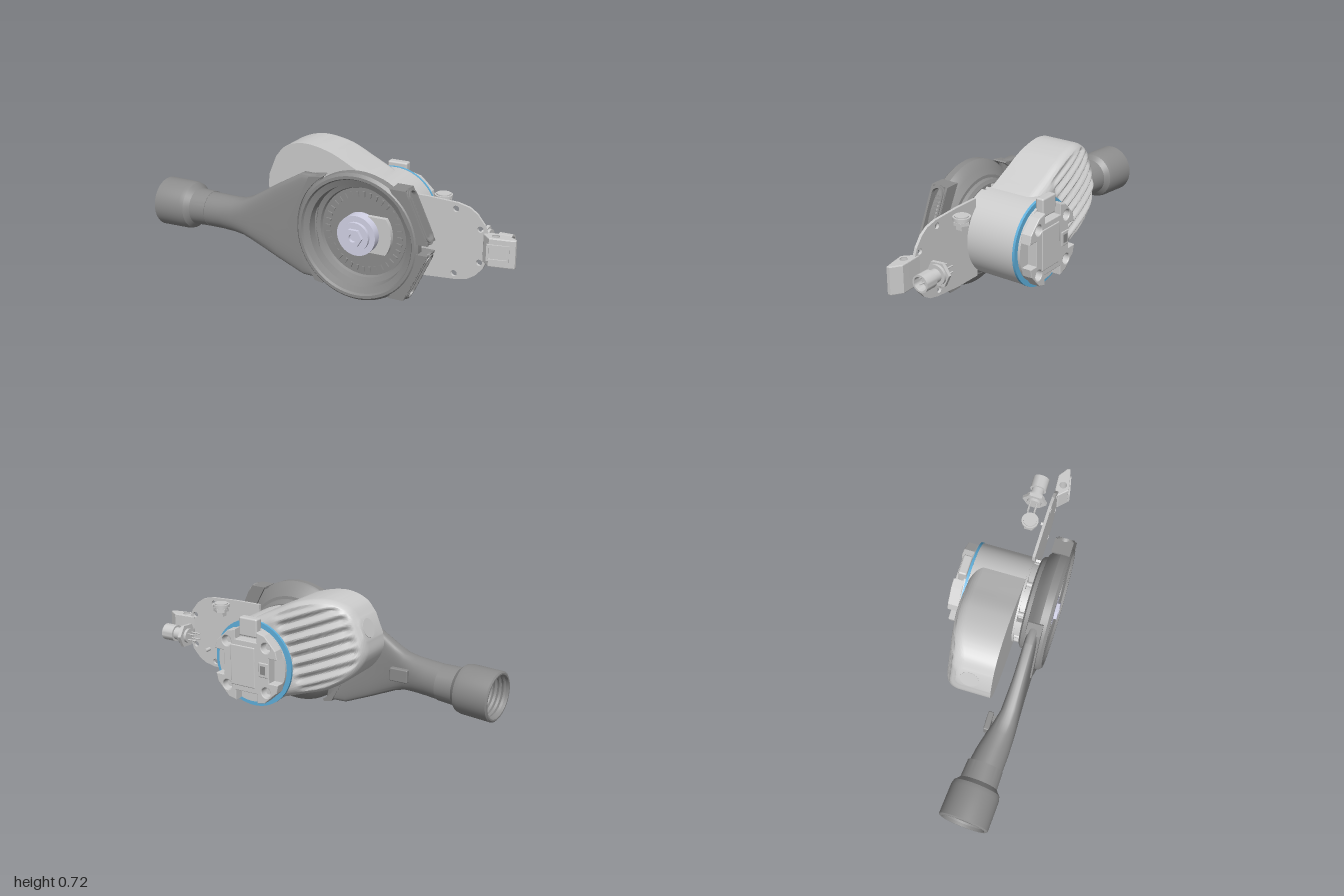
import * as THREE from 'three';
import { toCreasedNormals } from 'three/addons/utils/BufferGeometryUtils.js';
import { RoundedBoxGeometry } from 'three/addons/geometries/RoundedBoxGeometry.js';

const grey = new THREE.MeshStandardMaterial({ color: 0xcccccc, side: THREE.DoubleSide });
const darkGrey = new THREE.MeshStandardMaterial({ color: 0x8c8c8c, side: THREE.DoubleSide });
const blue = new THREE.MeshStandardMaterial({ color: 0x5fb0dc, side: THREE.DoubleSide });
const steel = new THREE.MeshStandardMaterial({ color: 0xd2d2e6, side: THREE.DoubleSide });
const CX = 0.225, CY = 0.335; // motor axis

export function createModel() {
  const root = new THREE.Group();

  const add = (name, geo, mat = grey, parent = root) => {
    const m = new THREE.Mesh(geo, mat);
    m.name = name;
    parent.add(m);
    return m;
  };
  const at = (m, x, y, z) => { m.position.set(x, y, z); return m; };
  const box = (name, w, h, d, x, y, z, parent = root, mat = grey) =>
    at(add(name, new THREE.BoxGeometry(w, h, d), mat, parent), x, y, z);
  const rbox = (name, w, h, d, x, y, z, parent = root, mat = grey) =>
    at(add(name, new RoundedBoxGeometry(w, h, d, 2, Math.min(w, h, d) * 0.2), mat, parent), x, y, z);
  // cylinder along x, y or z between two values of that axis
  const rod = (name, axis, r, a, b, p, q, sides = 32, parent = root, mat = grey) => {
    const g = new THREE.CylinderGeometry(r, r, b - a, sides);
    if (axis === 'z') g.rotateX(Math.PI / 2);
    if (axis === 'x') g.rotateZ(-Math.PI / 2);
    const c = (a + b) / 2;
    const m = add(name, sides < 8 ? toCreasedNormals(g, 0.5) : g, mat, parent);
    return axis === 'x' ? at(m, c, p, q) : axis === 'y' ? at(m, p, c, q) : at(m, p, q, c);
  };
  const lathe = (pts, n = 72) =>
    toCreasedNormals(new THREE.LatheGeometry(pts.map(p => new THREE.Vector2(...p)), n), 0.5);
  const poly = pts => new THREE.Shape(pts.map(p => new THREE.Vector2(...p)));
  const extrude = (shape, depth, bevel = 0) => new THREE.ExtrudeGeometry(shape, {
    depth, bevelEnabled: bevel > 0, bevelSize: bevel, bevelThickness: bevel, bevelSegments: 2, curveSegments: 24 });
  const circleHole = (shape, x, y, r) => shape.holes.push(new THREE.Path().absarc(x, y, r, 0, Math.PI * 2, true));
  const pill = (path, r) => path.absarc(0.1, 0, r, -Math.PI / 2, Math.PI / 2, false)
    .absarc(-0.1, 0, r, Math.PI / 2, Math.PI * 1.5, false);
  const clamp01 = v => Math.min(1, Math.max(0, v));
  // skin over equal-length closed sections, capped at both ends
  const loft = (secs, crease) => {
    const n = secs[0].length, pos = [], idx = [];
    secs.forEach(s => s.forEach(p => pos.push(p.x, p.y, p.z)));
    for (let i = 0; i < secs.length - 1; i++) for (let j = 0; j < n; j++) {
      const a = i * n + j, b = i * n + (j + 1) % n;
      idx.push(a, b, a + n, b, b + n, a + n);
    }
    [0, secs.length - 1].forEach(k => {
      const c = secs[k].reduce((s, p) => s.add(p), new THREE.Vector3()).divideScalar(n);
      const ci = pos.length / 3;
      pos.push(c.x, c.y, c.z);
      for (let j = 0; j < n; j++) {
        const a = k * n + j, b = k * n + (j + 1) % n;
        k ? idx.push(a, b, ci) : idx.push(b, a, ci);
      }
    });
    const g = new THREE.BufferGeometry();
    g.setAttribute('position', new THREE.Float32BufferAttribute(pos, 3));
    g.setIndex(idx);
    return toCreasedNormals(g, crease);
  };

  // motor barrel, coloured seal and neck with windows
  rod('motorBarrel', 'z', 0.23, -0.195, 0.085, CX, CY, 72);
  rod('sealRing', 'z', 0.232, -0.208, -0.195, CX, CY, 72, root, blue);
  rod('neckCore', 'z', 0.185, 0.08, 0.14, CX, CY, 48);
  rod('neckFlange', 'z', 0.228, 0.08, 0.095, CX, CY, 72);
  for (let i = 0; i < 8; i++) {
    const a = i * Math.PI / 4 + 0.13, s = new THREE.Shape();
    s.absarc(0, 0, 0.225, a, a + 0.45, false);
    s.absarc(0, 0, 0.18, a + 0.45, a, true);
    at(add('neckPost', extrude(s, 0.05)), CX, CY, 0.085);
    rod('neckScrew', 'z', 0.013, 0.08, 0.13, CX + 0.207 * Math.cos(a + 0.62), CY + 0.207 * Math.sin(a + 0.62), 12);
  }

  // dust shroud: open bowl around the spindle
  const shroud = add('shroud', lathe([[0.18, 0.125], [0.23, 0.125], [0.247, 0.135], [0.25, 0.155], [0.265, 0.157], [0.295, 0.18],
    [0.328, 0.208], [0.335, 0.222], [0.333, 0.26], [0.32, 0.275], [0.305, 0.275], [0.298, 0.262],
    [0.268, 0.25], [0.262, 0.2], [0.238, 0.19], [0.232, 0.175], [0, 0.175]]), darkGrey);
  shroud.rotation.x = Math.PI / 2;
  at(shroud, CX, CY, 0);
  for (let i = 0; i < 36; i++) {
    const a = i * Math.PI / 18;
    box('ventRib', 0.028, 0.012, 0.01, CX + 0.2 * Math.cos(a), CY + 0.2 * Math.sin(a), 0.178, root, darkGrey).rotation.z = a;
  }
  const cover = new THREE.Shape();
  cover.absarc(0, 0, 0.17, -0.6, 0.6, false);
  cover.lineTo(-0.02, 0.096);
  cover.lineTo(-0.02, -0.096);
  at(add('gearCover', extrude(cover, 0.03)), 0.215, CY, 0.17);

  // spindle flange and nut
  rod('spindleFlange', 'z', 0.105, 0.18, 0.245, 0.215, CY, 48, root, steel);
  rod('spindleHub', 'z', 0.075, 0.24, 0.262, 0.215, CY, 48, root, steel);
  const nut = poly([0, 1, 2, 3, 4, 5].map(i => [0.048 * Math.cos(i * Math.PI / 3), 0.048 * Math.sin(i * Math.PI / 3)]));
  circleHole(nut, 0, 0, 0.022);
  at(add('spindleNut', extrude(nut, 0.022), steel), 0.215, CY, 0.258);

  // two mirrored slotted side vents with pill-shaped mouths
  for (const side of [1, -1]) {
    const v = new THREE.Group();
    v.name = side > 0 ? 'upperSideVent' : 'lowerSideVent';
    v.position.set(CX, CY, 0);
    v.scale.y = side;
    root.add(v);
    const wall = poly([[0.18, 0.285], [0.262, 0.285], [0.385, 0.026], [0.32, 0.026]]);
    [0.17, 0.256].forEach(z => { add('ventWall', extrude(wall, 0.012), darkGrey, v).position.z = z; });
    box('ventEnd', 0.08, 0.012, 0.09, 0.222, 0.279, 0.219, v, darkGrey);
    box('ventEnd', 0.065, 0.012, 0.09, 0.35, 0.032, 0.219, v, darkGrey);
    const face = pill(new THREE.Shape(), 0.047), lip = pill(new THREE.Shape(), 0.039);
    [face, lip].forEach(s => s.holes.push(pill(new THREE.Path(), 0.03)));
    const g = new THREE.Group();
    g.name = 'ventFace';
    const d = new THREE.Vector3(-0.12, 0.26, 0).normalize(), z = new THREE.Vector3(0, 0, 1);
    g.quaternion.setFromRotationMatrix(new THREE.Matrix4().makeBasis(d, z, d.clone().cross(z)));
    g.position.set(0.315, 0.152, 0.219);
    v.add(g);
    add('slotPlate', extrude(face, 0.012), darkGrey, g);
    add('slotLip', extrude(lip, 0.018), darkGrey, g);
    for (let i = 0; i < 6; i++) box('slotBar', 0.007, 0.04, 0.02, i * 0.018, 0, -0.015, g, darkGrey);
  }

  // suction duct: round tube flattening into a wide fan that meets the shroud
  const edge = y => CX - Math.sqrt(Math.max(0.348 ** 2 - (y - CY) ** 2, 0));
  const ring = ([x, yc, hy, zc, hz, p], last) => Array.from({ length: 48 }, (_, j) => {
    const a = j / 48 * Math.PI * 2, c = Math.cos(a), s = Math.sin(a);
    const y = yc + hy * Math.sign(c) * Math.abs(c) ** p, z = zc + hz * Math.sign(s) * Math.abs(s) ** p;
    return new THREE.Vector3(last ? edge(y) : Math.min(x, edge(y) - 0.02), y, z);
  });
  const duct = [[-0.7, 0.292, 0.093, 0.152, 0.09, 1], [-0.6, 0.297, 0.093, 0.165, 0.083, 1],
    [-0.52, 0.3, 0.094, 0.177, 0.072, 0.9], [-0.46, 0.303, 0.1, 0.187, 0.061, 0.75],
    [-0.4, 0.307, 0.123, 0.195, 0.05, 0.62], [-0.25, 0.32, 0.202, 0.2, 0.039, 0.48],
    [-0.1, 0.332, 0.276, 0.202, 0.034, 0.4], [0, 0.33, 0.278, 0.202, 0.034, 0.4]];
  add('suctionDuct', loft(duct.map((d, i) => ring(d, i === duct.length - 1)), 0.6), darkGrey);
  rbox('ductClip', 0.1, 0.07, 0.03, -0.46, 0.305, 0.102, root, darkGrey);
  box('ductClipFoot', 0.03, 0.05, 0.04, -0.44, 0.305, 0.128, root, darkGrey);

  // bracket collar between duct and shroud
  const collar = poly([[0.01, 0.612], [-0.05, 0.602], [-0.18, 0.335], [-0.02, 0.05], [0.025, 0.042]]);
  collar.absarc(CX, CY, 0.342, -2.17, -Math.PI * 2 + 2.22, true);
  add('ductCollar', extrude(collar, 0.078), darkGrey).position.z = 0.167;

  // hose socket with ribbed bore
  const bore = [];
  for (let i = 0; i < 7; i++) bore.push([0.106, 0.17 - i * 0.024], [0.113, 0.16 - i * 0.024]);
  const cuff = add('hoseSocket', lathe([[0.122, 0], [0.13, 0.006], [0.128, 0.165], [0.122, 0.19], [0.098, 0.215],
    [0.094, 0.31], [0.08, 0.31], [0.085, 0.2], ...bore, [0.114, 0], [0.122, 0]], 56), darkGrey);
  cuff.quaternion.setFromUnitVectors(new THREE.Vector3(0, 1, 0), new THREE.Vector3(1, 0.035, 0.07).normalize());
  at(cuff, -0.99, 0.283, 0.13);

  // finned exhaust housing, swept along a tilted axis
  const A = new THREE.Vector3(-0.924, 0.383, 0), L = new THREE.Vector3(0.383, 0.924, 0);
  const spine = new THREE.CatmullRomCurve3([[0, 0.215, -0.19], [0.2, 0.228, -0.194], [0.36, 0.235, -0.19], [0.51, 0.2, -0.168],
    [0.595, 0.13, -0.135], [0.622, 0.055, -0.1]].map(p => new THREE.Vector3(...p)));
  const place = (s, t, z) => new THREE.Vector3(CX, CY, z).addScaledVector(A, s).addScaledVector(L, t);
  const housing = [];
  for (let i = 0; i <= 40; i++) {
    const { x: s, y: w, z: back } = spine.getPoint(i / 40), c = Math.min(0.06, w * 0.6);
    const loop = [place(s, w, 0.085)];
    for (let k = 0; k <= 96; k++) {
      const t = w * Math.cos(k / 96 * Math.PI);
      const q = Math.max(0, (Math.abs(t) - w + c) / c);
      const fade = clamp01((w - 0.02 - Math.abs(t)) / 0.025) * clamp01((s - 0.2) / 0.03) * clamp01((0.6 - s) / 0.04);
      const fin = fade * (0.5 - 0.5 * Math.cos(t / 0.058 * Math.PI * 2));
      loop.push(place(s, t, back + c * (1 - Math.sqrt(Math.max(0, 1 - q * q))) + 0.02 * fin));
    }
    loop.push(place(s, -w, 0.085));
    housing.push(loop);
  }
  add('exhaustHousing', loft(housing, 0.6));
  const plug = add('housingPlug', new THREE.CylinderGeometry(0.05, 0.05, 0.006, 32));
  plug.quaternion.setFromUnitVectors(new THREE.Vector3(0, 1, 0), A);
  plug.position.copy(place(0.621, 0, -0.03));

  // rear cap: notched block with bosses, centre plate, port and top latch
  const cap = new THREE.Group();
  cap.name = 'rearCap';
  at(cap, CX, CY, 0);
  root.add(cap);
  rod('capDisc', 'z', 0.205, -0.222, -0.205, 0, 0, 64, cap);
  const quarter = [[0.19, 0.07], [0.18, 0.11], [0.11, 0.175], [0.07, 0.185], [0.07, 0.135], [-0.07, 0.135]];
  const outline = [];
  for (let k = 0; k < 4; k++) for (const [x, y] of quarter) {
    const c = [1, 0, -1, 0][k], s = [0, 1, 0, -1][k];
    outline.push([c * x - s * y, s * x + c * y]);
  }
  const block = poly(outline);
  for (const x of [-0.12, 0.12]) for (const y of [-0.12, 0.12]) {
    circleHole(block, x, y, 0.032);
    rod('capScrew', 'z', 0.017, -0.245, -0.22, x, y, 16, cap);
  }
  add('capBlock', extrude(block, 0.05, 0.004), grey, cap).position.z = -0.27;
  rbox('centrePlate', 0.15, 0.22, 0.03, 0.02, 0, -0.263, cap);
  rbox('portFrame', 0.06, 0.08, 0.03, -0.105, 0, -0.263, cap);
  box('portInsert', 0.03, 0.045, 0.004, -0.105, 0, -0.278, cap, darkGrey);
  rbox('topLatch', 0.11, 0.1, 0.046, 0, 0.204, -0.231, cap);

  // side mounting plate with screw holes
  const plate = poly([[0.38, 0.13], [0.53, 0.13], [0.69, 0.142], [0.75, 0.155], [0.79, 0.18], [0.83, 0.225], [0.85, 0.28],
    [0.85, 0.4], [0.83, 0.45], [0.79, 0.5], [0.75, 0.527], [0.69, 0.542], [0.53, 0.55], [0.38, 0.55]]);
  [[0.68, 0.51], [0.68, 0.172], [0.81, 0.425], [0.81, 0.253]].forEach(([x, y]) => circleHole(plate, x, y, 0.016));
  add('sidePlate', extrude(plate, 0.015)).position.z = 0.08;
  rod('platePin', 'z', 0.01, 0.04, 0.085, 0.72, 0.24, 16);

  // end clip: wedge profile extruded along y, with a window frame in front
  const clip = poly([[0.82, -0.08], [0.9, -0.075], [0.94, -0.073], [0.99, -0.107], [0.99, -0.117], [0.95, -0.126], [0.87, -0.14], [0.83, -0.1]]);
  circleHole(clip, 0.89, -0.108, 0.02);
  add('endClip', extrude(clip, 0.137, 0.005).rotateX(-Math.PI / 2)).position.set(0.004, 0.269, 0);
  const frame = poly([[-0.055, -0.042], [0.055, -0.042], [0.055, 0.042], [-0.055, 0.042]]);
  frame.holes.push(new THREE.Path([[-0.045, -0.032], [-0.045, 0.032], [0.045, 0.032], [0.045, -0.032]].map(p => new THREE.Vector2(...p))));
  at(add('clipWindow', extrude(frame, 0.012)), 0.916, 0.339, 0.133).rotation.y = 0.2;

  // round socket with hexagonal nut and contact pins
  rod('socketNut', 'x', 0.068, 0.79, 0.808, CY, -0.022, 6).rotation.x = 0.08;
  rod('socketCollar', 'x', 0.052, 0.806, 0.822, CY, -0.022);
  rod('socketBarrel', 'x', 0.034, 0.82, 0.87, CY, -0.022);
  rod('socketRear', 'x', 0.04, 0.775, 0.792, CY, -0.022);
  const mouth = add('socketMouth', lathe([[0.03, 0], [0.045, 0], [0.045, 0.07], [0.036, 0.07], [0.036, 0.02], [0, 0.02]], 32));
  mouth.rotation.z = -Math.PI / 2;
  at(mouth, 0.865, CY, -0.022);
  for (const [y, z] of [[0.016, 0.018], [0.016, -0.018], [-0.016, 0.018], [-0.016, -0.018]])
    rod('contactPin', 'x', 0.004, 0.72, 0.915, CY + y, z - 0.022, 8);

  // push button
  rod('buttonHead', 'y', 0.045, 0.528, 0.542, 0.58, 0.01);
  rod('buttonNeck', 'y', 0.036, 0.508, 0.548, 0.58, 0.01);
  rod('buttonNut', 'y', 0.042, 0.502, 0.518, 0.58, 0.01, 6);
  box('buttonStem', 0.035, 0.03, 0.035, 0.58, 0.488, 0.015);

  return root;
}
